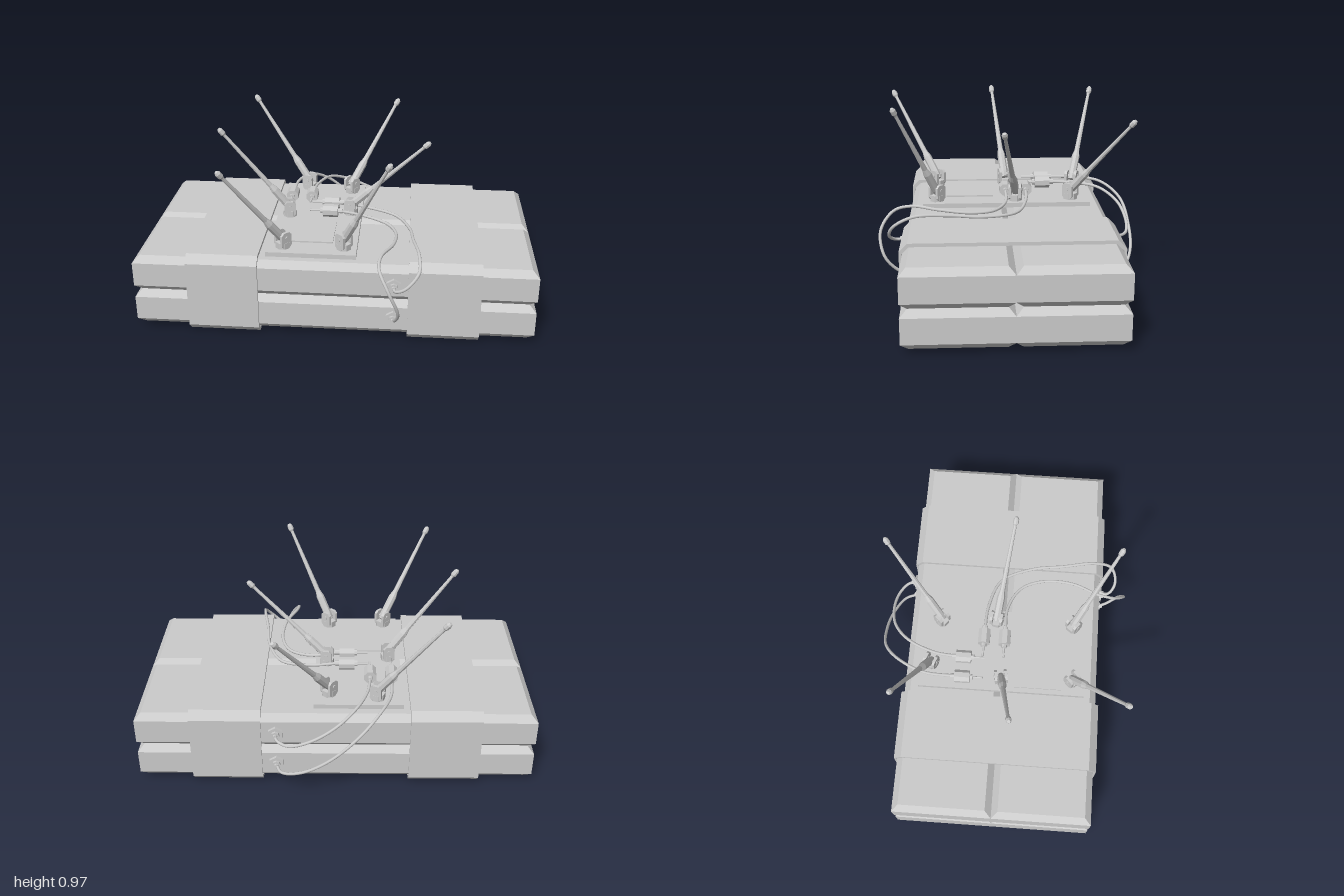
import * as THREE from 'three';

const grey = new THREE.MeshStandardMaterial({ color: 0xcccccc, flatShading: true });
const smooth = new THREE.MeshStandardMaterial({ color: 0xcccccc });
const UP = new THREE.Vector3(0, 1, 0);
const v = (p) => new THREE.Vector3(...p);

function add(parent, name, geometry, pos = [0, 0, 0], material = grey) {
  const mesh = new THREE.Mesh(geometry, material);
  mesh.name = name;
  mesh.position.set(...pos);
  parent.add(mesh);
  return mesh;
}

// Box whose top and bottom rims are chamfered, standing on y = 0
function chamferedBlock(w, h, d, b) {
  const x = w / 2 - b, z = d / 2 - b;
  const shape = new THREE.Shape([[-x, -z], [x, -z], [x, z], [-x, z]].map((p) => new THREE.Vector2(...p)));
  return new THREE.ExtrudeGeometry(shape, { depth: h - 2 * b, bevelThickness: b, bevelSize: b, bevelSegments: 1 })
    .translate(0, 0, b).rotateX(-Math.PI / 2);
}

// Eight-cornered outline with cut corners
function cutRect(x0, y0, x1, y1, c) {
  return [[x0 + c, y0], [x1 - c, y0], [x1, y0 + c], [x1, y1 - c], [x1 - c, y1], [x0 + c, y1], [x0, y1 - c], [x0, y0 + c]]
    .map((p) => new THREE.Vector2(...p));
}

// Strap ring wrapped round the four blocks
function strapGeometry(width) {
  const shape = new THREE.Shape(cutRect(-0.53, 0, 0.52, 0.427, 0.04));
  shape.holes.push(new THREE.Path(cutRect(-0.517, 0.015, 0.507, 0.41, 0.034)));
  return new THREE.ExtrudeGeometry(shape, { depth: width, bevelEnabled: false })
    .translate(0, 0, -width / 2).rotateY(Math.PI / 2);
}

// Hinged whip antenna on a forked post
function antenna(base, tip) {
  const g = new THREE.Group();
  g.name = 'antenna';
  const heading = Math.atan2(-(tip[2] - base[1]), tip[0] - base[0]);
  const post = new THREE.Group();
  post.name = 'antennaPost';
  post.position.set(base[0], 0.425, base[1]);
  post.rotation.y = heading;
  add(post, 'postFoot', new THREE.CylinderGeometry(0.038, 0.038, 0.035, 8).rotateY(Math.PI / 8), [0, 0.0175, 0]);
  for (const s of [-1, 1]) {
    const cheek = new THREE.Shape(cutRect(-0.03, 0, 0.03, 0.085, 0.014));
    const geo = new THREE.ExtrudeGeometry(cheek, { depth: 0.015, bevelEnabled: false });
    add(post, 'postCheek', geo.translate(0, 0, -0.0075), [0, 0.005, s * 0.026]);
  }
  add(post, 'hingePin', new THREE.CylinderGeometry(0.01, 0.01, 0.075, 8).rotateX(Math.PI / 2), [0, 0.06, 0]);
  g.add(post);

  const pivot = new THREE.Vector3(base[0], 0.475, base[1]);
  const dir = v(tip).sub(pivot);
  const L = dir.length();
  const profile = [[0, -0.015], [0.018, -0.01], [0.022, 0.02], [0.022, 0.13], [0.014, 0.165], [0.0085, L - 0.055],
    [0.009, L - 0.045], [0.015, L - 0.035], [0.015, L - 0.012], [0.008, L], [0, L]];
  const whip = add(g, 'antennaWhip', new THREE.LatheGeometry(profile.map((p) => new THREE.Vector2(...p)), 8));
  whip.position.copy(pivot);
  whip.quaternion.setFromUnitVectors(UP, dir.normalize());
  return g;
}

// Inline cable plug; its pin points along the given direction
function plug(pos, dir) {
  const g = new THREE.Group();
  g.name = 'cablePlug';
  add(g, 'plugBody', new THREE.CylinderGeometry(0.034, 0.034, 0.08, 8).rotateY(Math.PI / 8));
  add(g, 'plugCollar', new THREE.CylinderGeometry(0.016, 0.016, 0.02, 8), [0, 0.045, 0]);
  add(g, 'plugPin', new THREE.CylinderGeometry(0.006, 0.006, 0.07, 8), [0, 0.075, 0]);
  add(g, 'plugTail', new THREE.CylinderGeometry(0.014, 0.014, 0.025, 8), [0, -0.05, 0]);
  g.position.set(...pos);
  g.quaternion.setFromUnitVectors(UP, v(dir));
  return g;
}

// Hexagonal socket on a side wall; s = +1 front, -1 back
function socket(x, y, s) {
  const g = new THREE.Group();
  g.name = 'sideSocket';
  const ring = (r, len, n, z) => new THREE.CylinderGeometry(r, r, len, n).rotateX(Math.PI / 2).translate(0, 0, z);
  add(g, 'socketNut', ring(0.04, 0.02, 6, s * 0.006));
  add(g, 'socketCollar', ring(0.022, 0.02, 8, s * 0.018));
  add(g, 'socketStub', ring(0.012, 0.03, 8, s * 0.025));
  g.position.set(x, y, s > 0 ? 0.515 : -0.505);
  return g;
}

export function createModel() {
  const model = new THREE.Group();
  model.name = 'strappedDevice';

  // Four stacked blocks
  for (const y of [0.022, 0.213]) {
    for (const z of [-0.25, 0.26]) add(model, 'block', chamferedBlock(2, 0.191, 0.51, 0.033), [0, y, z]);
  }

  // Two straps
  for (const x of [-0.55, 0.55]) add(model, 'strap', strapGeometry(0.356), [x, 0, 0]);

  // Mounting plate and raised panel
  add(model, 'mountingPlate', new THREE.BoxGeometry(0.45, 0.025, 0.88), [-0.115, 0.415, 0.008]);
  add(model, 'raisedPanel', new THREE.BoxGeometry(0.3, 0.008, 0.25), [-0.165, 0.431, 0.202]);

  // Antennas: base (x, z) and tip
  const antennas = [
    [[-0.21, -0.37], [-0.53, 0.935, -0.505]],
    [[0.035, -0.335], [0.285, 0.895, -0.625]],
    [[-0.275, 0.005], [-0.625, 0.93, 0.068]],
    [[0.05, -0.04], [0.46, 0.875, 0.035]],
    [[-0.26, 0.38], [-0.515, 0.925, 0.635]],
    [[0.045, 0.375], [0.275, 0.965, 0.578]],
  ];
  for (const [base, tip] of antennas) model.add(antenna(base, tip));

  // Plugs on the plate
  for (const x of [-0.285, -0.175]) model.add(plug([x, 0.463, -0.2], [0, 0, 1]));
  for (const z of [-0.1, 0.01]) model.add(plug([-0.055, 0.463, z], [-1, 0, 0]));

  // Sockets on front and back walls
  for (const s of [1, -1]) {
    for (const y of [0.305, 0.123]) model.add(socket(0.3, y, s));
  }

  // Cables from plugs to sockets
  const cables = [
    [[-0.285, 0.463, -0.24], [-0.275, 0.46, -0.4], [-0.22, 0.45, -0.53], [-0.12, 0.38, -0.63], [0.02, 0.26, -0.66],
      [0.16, 0.17, -0.645], [0.27, 0.125, -0.59], [0.3, 0.123, -0.52]],
    [[-0.175, 0.463, -0.24], [-0.16, 0.46, -0.36], [-0.1, 0.45, -0.5], [0, 0.4, -0.59], [0.12, 0.34, -0.62],
      [0.23, 0.3, -0.605], [0.29, 0.3, -0.56], [0.3, 0.305, -0.52]],
    [[-0.01, 0.463, -0.1], [0.13, 0.445, -0.09], [0.29, 0.43, -0.03], [0.37, 0.435, 0.14], [0.39, 0.45, 0.3],
      [0.42, 0.455, 0.48], [0.42, 0.41, 0.575], [0.36, 0.34, 0.605], [0.31, 0.305, 0.575], [0.3, 0.305, 0.53]],
    [[-0.01, 0.463, 0.01], [0.13, 0.44, 0.015], [0.25, 0.43, 0.08], [0.3, 0.435, 0.2], [0.29, 0.45, 0.36],
      [0.235, 0.455, 0.5], [0.23, 0.43, 0.59], [0.28, 0.34, 0.655], [0.325, 0.22, 0.635], [0.31, 0.14, 0.57],
      [0.3, 0.123, 0.53]],
  ];
  for (const points of cables) {
    const curve = new THREE.CatmullRomCurve3(points.map(v), false, 'centripetal');
    add(model, 'cable', new THREE.TubeGeometry(curve, 64, 0.008, 8), [0, 0, 0], smooth);
  }

  return model;
}
